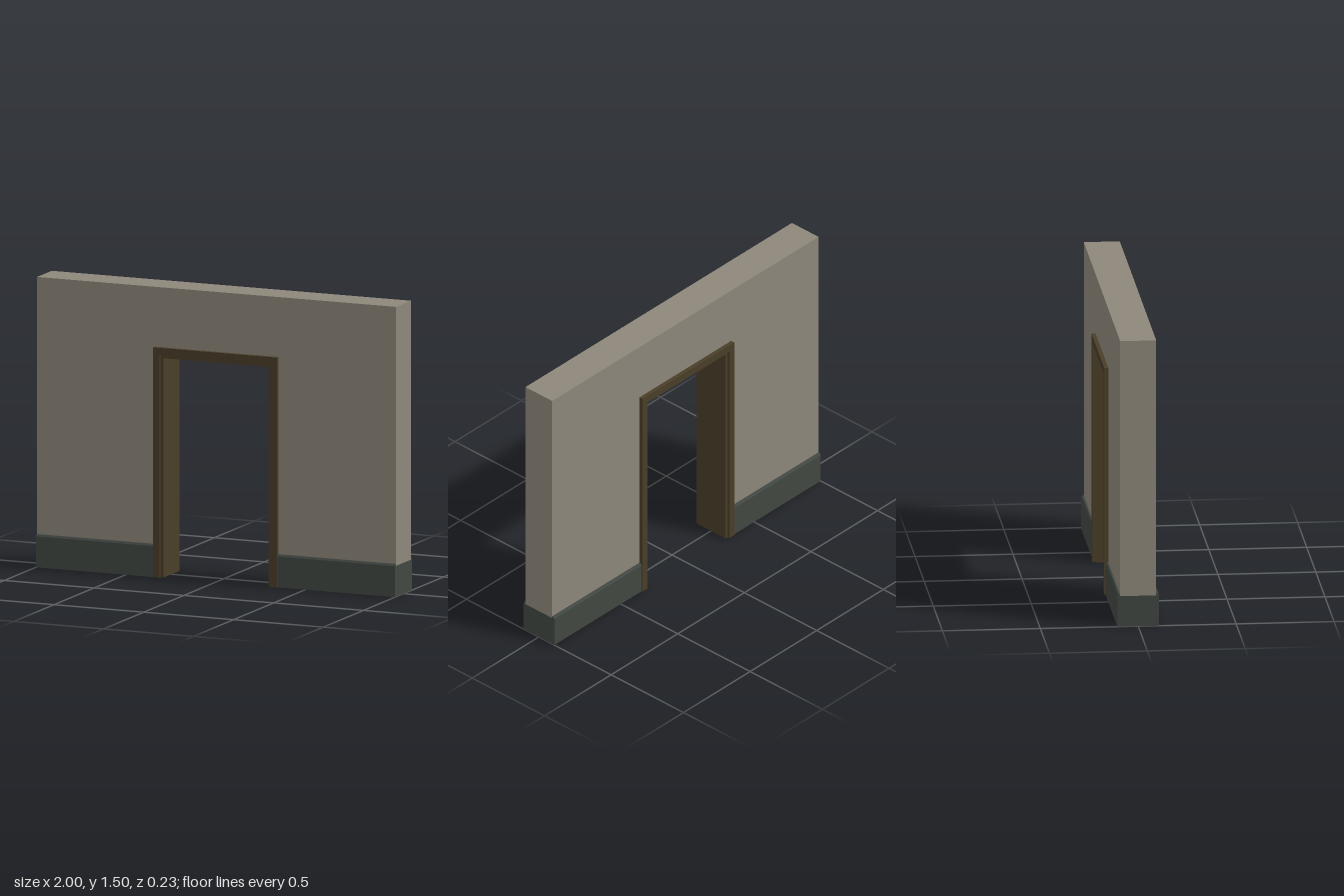
import * as THREE from 'three';

const mat = (name, color) => {
  const m = new THREE.MeshStandardMaterial({ color });
  m.name = name;
  return m;
};

const shapeOf = (pts) => new THREE.Shape(pts.map(([x, y]) => new THREE.Vector2(x, y)));

// Doorway-shaped band: outer half-width and top, inner half-width and top, base height
const arch = (ow, ot, iw, it, base = 0) => shapeOf([
  [-ow, base], [-iw, base], [-iw, it], [iw, it], [iw, base], [ow, base], [ow, ot], [-ow, ot],
]);

// Extrude from z0 to z1
function slab(shape, z0, z1) {
  const g = new THREE.ExtrudeGeometry(shape, { depth: z1 - z0, bevelEnabled: false });
  return g.translate(0, 0, z0);
}

export function createModel() {
  const group = new THREE.Group();
  const wallMat = mat('wall plaster', 0x8e887b);
  const trimMat = mat('door trim wood', 0x4a3e29);
  const baseMat = mat('skirting grey', 0x414742);

  const add = (name, geometry, material) => {
    const mesh = new THREE.Mesh(geometry, material);
    mesh.name = name;
    group.add(mesh);
  };

  const T = 0.092; // half thickness of the wall
  const B = 0.16;  // height of the skirting core

  // Wall above the skirting, with the door opening
  add('wall', slab(arch(1, 1.5, 0.308, 1.153, B), -T, T), wallMat);

  // Lining of the opening, and a raised casing on both faces
  add('doorLining', slab(arch(0.308, 1.153, 0.293, 1.135), -0.1, 0.1), trimMat);
  const casing = arch(0.345, 1.19, 0.308, 1.153);
  add('frontCasing', slab(casing, T, 0.113), trimMat);
  add('backCasing', slab(casing, -0.113, -T), trimMat);

  // Skirting: boards with a chamfered top edge on both faces, joined under the wall
  const profile = shapeOf([
    [-0.107, 0], [0.107, 0], [0.107, 0.16], [0.1, 0.17], [T, 0.17], [T, B],
    [-T, B], [-T, 0.17], [-0.1, 0.17], [-0.107, 0.16],
  ]);
  for (const [side, s] of [['left', 1], ['right', -1]]) {
    const start = s > 0 ? 0.345 : -1;
    add(side + 'Skirting', slab(profile, start, start + 0.655).rotateY(Math.PI / 2), baseMat);
    // Wall foot between the skirting and the lining
    add(side + 'WallFoot',
      new THREE.BoxGeometry(0.037, B, 2 * T).translate(s * 0.3265, B / 2, 0), baseMat);
  }
  return group;
}
